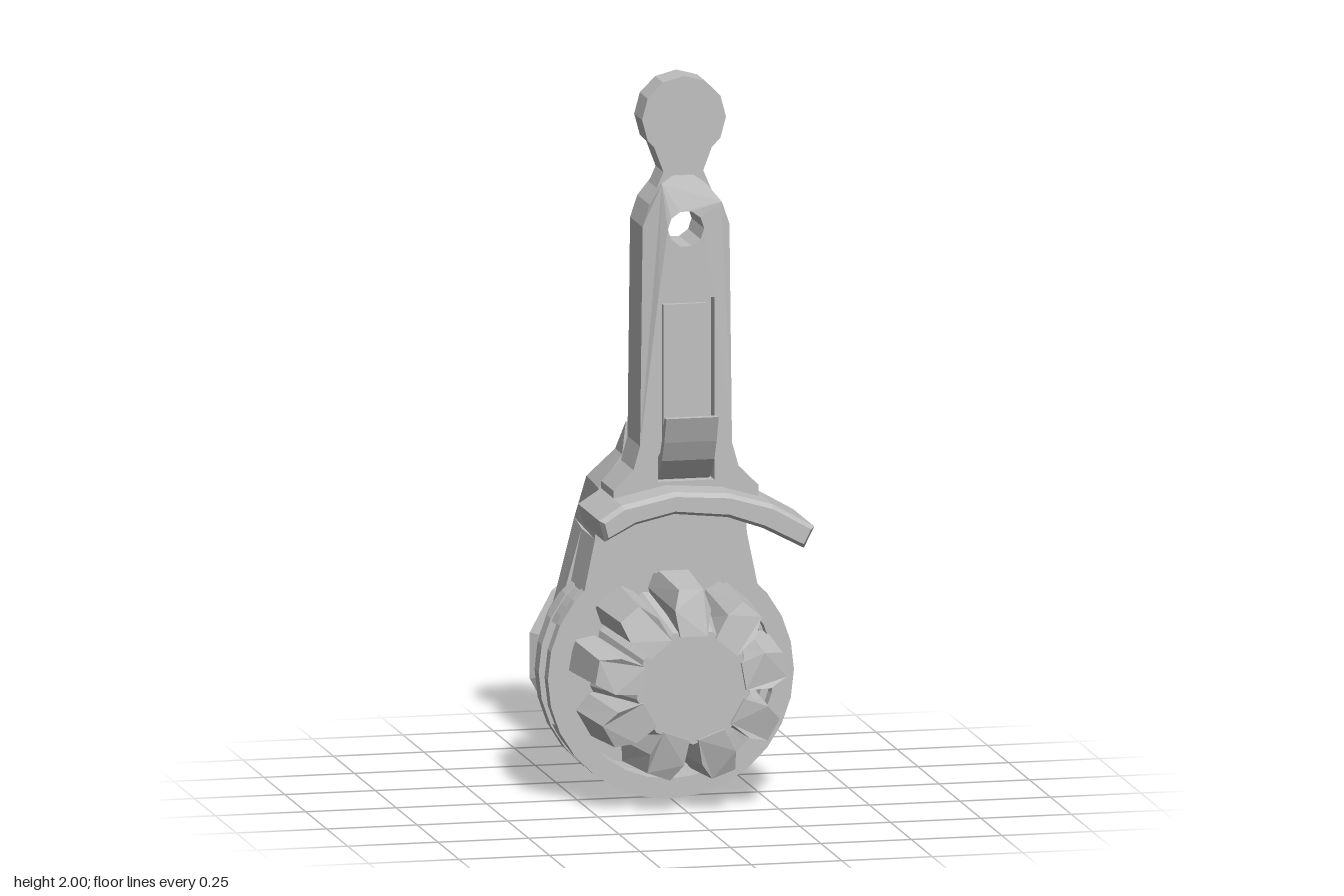
import * as THREE from 'three';

export function createModel() {
  const model = new THREE.Group();
  const grey = new THREE.MeshStandardMaterial({ color: 0xc0c0c0 });
  grey.name = 'grey plastic';
  const CY = 0.34; // height of the round housing's axis

  // Adds a faceted mesh under a plain name
  function add(name, geometry, parent = model) {
    const g = geometry.index ? geometry.toNonIndexed() : geometry;
    g.computeVertexNormals();
    const mesh = new THREE.Mesh(g, grey);
    mesh.name = name;
    parent.add(mesh);
    return mesh;
  }
  const shapeOf = (pts) => new THREE.Shape(pts.map(([x, y]) => new THREE.Vector2(x, y)));
  const mirrored = (half, cx = 0) => [
    ...half.map(([x, y]) => [cx + x, y]),
    ...half.slice().reverse().map(([x, y]) => [cx - x, y]),
  ];
  // Extrudes a shape from z0 to z1
  function slab(shape, z0, z1, extra = {}) {
    const g = new THREE.ExtrudeGeometry(shape, { depth: z1 - z0, bevelEnabled: false, curveSegments: 10, ...extra });
    return g.translate(0, 0, z0);
  }
  // Moves every vertex by a rule
  function reshape(g, rule) {
    const p = g.attributes.position;
    const v = new THREE.Vector3();
    for (let i = 0; i < p.count; i++) {
      v.fromBufferAttribute(p, i);
      rule(v);
      p.setXYZ(i, v.x, v.y, v.z);
    }
    return g;
  }
  function disc(rFront, rBack, z0, z1, sides, cy = CY, cx = 0) {
    return new THREE.CylinderGeometry(rFront, rBack, z1 - z0, sides)
      .rotateX(Math.PI / 2).translate(cx, cy, (z0 + z1) / 2);
  }
  function circleHole(x, y, r, sides) {
    const pts = [];
    for (let i = 0; i < sides; i++) {
      const a = (i / sides) * Math.PI * 2;
      pts.push(new THREE.Vector2(x + r * Math.cos(a), y + r * Math.sin(a)));
    }
    return new THREE.Path(pts);
  }

  // Round housing: hollow front ring with a window on each side
  const OUT = 0.34, IN = 0.285;
  function annulus(outer) {
    const s = new THREE.Shape();
    s.absarc(0, CY, outer, 0, Math.PI * 2);
    s.holes.push(new THREE.Path().absarc(0, CY, IN, 0, Math.PI * 2, true));
    return s;
  }
  add('ringFront', slab(annulus(OUT), 0, 0.04, { curveSegments: 14 }));
  add('ringRear', slab(annulus(OUT), -0.12, -0.07, { curveSegments: 14 }));
  const open = 0.43;
  for (const start of [open, Math.PI + open]) {
    const end = start + Math.PI - 2 * open;
    const arc = new THREE.Shape();
    arc.absarc(0, CY, 0.335, start, end, false);
    arc.absarc(0, CY, IN, end, start, true);
    add('ringBand', slab(arc, -0.07, 0, { curveSegments: 14 }));
  }

  // Solid rear drum, its chamfer and the back cover
  add('rearDrum', disc(0.315, 0.315, -0.21, -0.11, 28));
  add('rearChamfer', disc(0.315, 0.295, -0.28, -0.21, 28));
  add('backCover', disc(0.3, 0.32, -0.298, -0.28, 14).scale(1, 0.89, 1).translate(0, 0.04, 0));
  add('backCoverEdge', disc(0.32, 0.3, -0.31, -0.298, 14).scale(1, 0.89, 1).translate(0, 0.04, 0));

  // Shoulder that carries the handle, cut away behind by a 45 degree slope
  const narrowBack = (v) => {
    if (v.z < -0.2) v.x *= 0.92;
  };
  add('shoulderBack', reshape(
    slab(shapeOf(mirrored([[0.31, 0.36], [0.21, 0.72]])), -0.28, -0.12), narrowBack));
  const bridge = new THREE.Shape();
  bridge.moveTo(0.245, 0.55);
  bridge.lineTo(0.21, 0.72);
  bridge.lineTo(-0.21, 0.72);
  bridge.lineTo(-0.245, 0.55);
  bridge.absarc(0, CY, 0.3, Math.PI - 0.71, 0.71, true);
  add('shoulderFront', slab(bridge, -0.12, 0.04));
  const slope = shapeOf(mirrored([[0.21, 0.72], [0.2, 0.86], [0.135, 0.95], [0.125, 1.04]]));
  slope.holes.push(new THREE.Path(
    [[-0.09, 0.89], [-0.1, 0.91], [-0.1, 0.96], [-0.08, 0.98], [0.09, 0.98], [0.11, 0.96], [0.11, 0.91], [0.1, 0.89]]
      .map(([x, y]) => new THREE.Vector2(x, y))));
  add('slopedShoulder', reshape(slab(slope, -0.28, 0.04), (v) => {
    if (v.z < 0) {
      v.z = v.y - 1;
      v.x *= 1 + 0.08 * Math.min(0, v.z) / 0.28;
    }
  }));

  // Handle in two layers, so that the front one holds the recess
  const handleHalf = [[0.2, 0.83], [0.2, 0.88], [0.145, 0.935], [0.127, 1.0], [0.12, 1.6],
    [0.1, 1.66], [0.06, 1.71], [0.03, 1.73]];
  const handleShape = () => {
    const s = shapeOf(mirrored(handleHalf, 0.007));
    s.holes.push(circleHole(0.007, 1.59, 0.05, 10));
    return s;
  };
  add('handleBack', slab(handleShape(), 0.04, 0.15));
  const front = handleShape();
  front.holes.push(new THREE.Path(
    [[-0.07, 0.9], [0.085, 0.9], [0.085, 1.4], [-0.07, 1.4]].map(([x, y]) => new THREE.Vector2(x, y))));
  add('handleFront', reshape(slab(front, 0.15, 0.19), (v) => {
    if (v.z > 0.17 && v.y > 1.65) v.z -= (v.y - 1.65) * 0.48;
  }));
  add('recessPanel', slab(shapeOf([[-0.05, 0.9], [0.07, 0.9], [0.07, 1.38], [-0.05, 1.38]]), 0.14, 0.165));

  // Springy clip, drawn from the side and turned to run across x
  const clipSide = shapeOf([[0.16, 0.9], [0.19, 0.91], [0.235, 0.965], [0.262, 1.02], [0.288, 1.09],
    [0.265, 1.09], [0.24, 1.03], [0.215, 0.985], [0.16, 0.95]]);
  add('clip', slab(clipSide, -0.075, 0.07).rotateY(-Math.PI / 2));

  // Neck and round tip with a hexagonal socket in its back
  add('neck', slab(shapeOf(mirrored([[0.085, 1.67], [0.055, 1.74], [0.085, 1.82]], 0.01)), 0.05, 0.145));
  const tip = new THREE.Shape(circleHole(0.012, 1.885, 0.116, 12).getPoints());
  add('tipFront', slab(tip, 0.09, 0.145));
  const tipRing = tip.clone();
  tipRing.holes.push(circleHole(0.012, 1.885, 0.055, 6));
  add('tipSocket', slab(tipRing, 0.05, 0.09));

  // Curved finger guard, longer on one side
  add('fingerGuard', slab(shapeOf([[-0.245, 0.815], [-0.19, 0.85], [-0.05, 0.88], [0.1, 0.87], [0.22, 0.835],
    [0.325, 0.775], [0.305, 0.735], [0.2, 0.79], [0.1, 0.825], [-0.05, 0.84], [-0.16, 0.815], [-0.235, 0.775]]),
  0.04, 0.29, { bevelEnabled: true, bevelSegments: 1, bevelThickness: 0.02, bevelSize: 0.01 }));

  // Knob: tapered hub with nine chamfered lugs, and the axle behind it
  const knob = new THREE.Group();
  knob.name = 'knob';
  knob.position.set(0.007, 0.35, 0);
  model.add(knob);
  add('knobHub', disc(0.158, 0.225, 0, 0.275, 9, 0), knob);
  add('axle', disc(0.065, 0.065, -0.12, 0.02, 10, -0.01), knob);
  const lug = mirrored([[0.038, 0.14], [0.062, 0.225], [0.042, 0.278]]);
  for (let i = 0; i < 9; i++) {
    const g = reshape(slab(shapeOf(lug), 0.005, 0.287), (v) => {
      if (v.z > 0.2 && v.y > 0.2) {
        v.z -= (v.y - 0.2) * 0.45;
        v.y -= 0.015;
        v.x *= 0.8;
      }
    });
    add('knobLug', g, knob).rotation.z = (i * Math.PI * 2) / 9;
  }
  return model;
}
